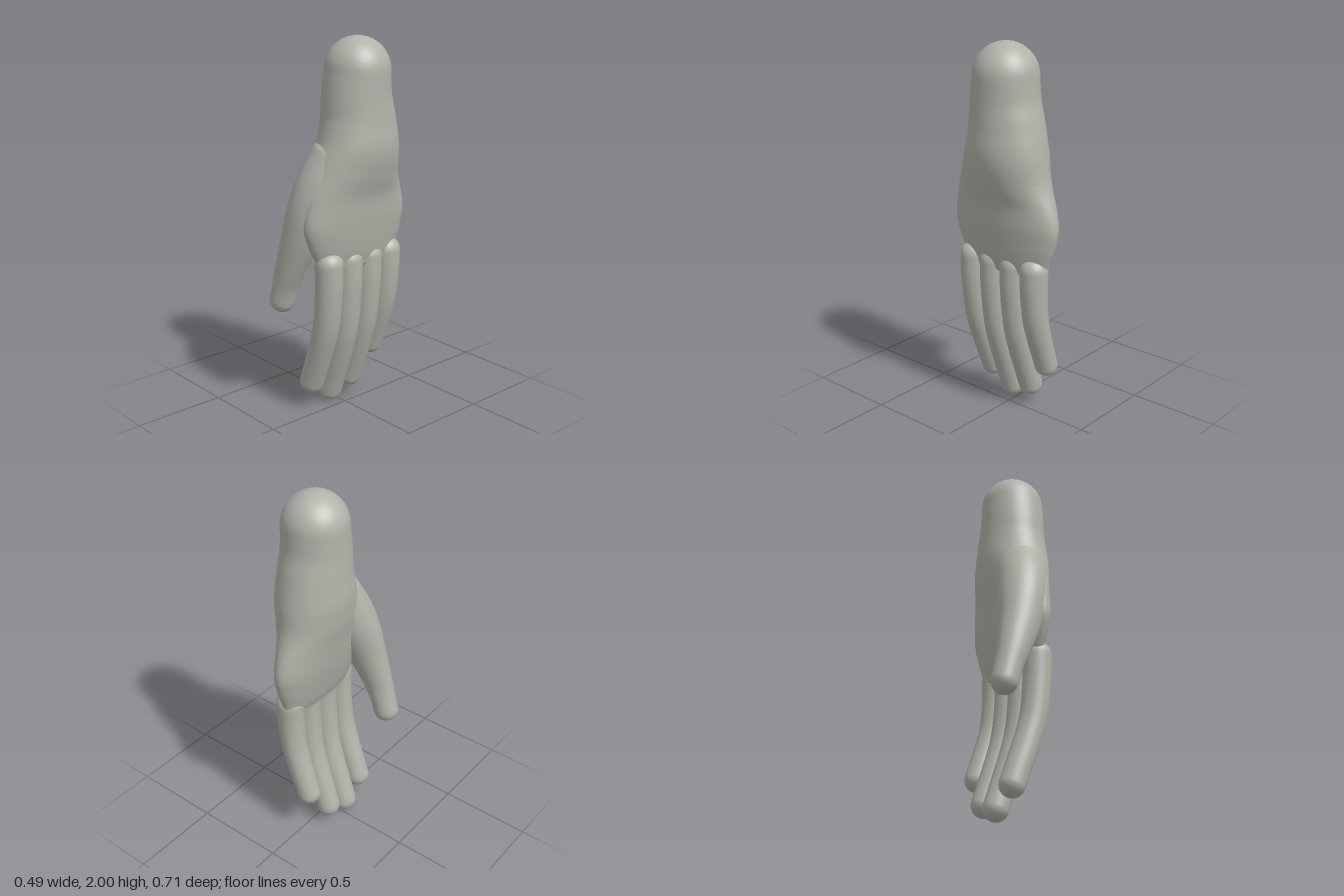
import * as THREE from 'three';

const skin = new THREE.MeshStandardMaterial({ color: 0xb2b2aa });
skin.name = 'warm grey';

// Smooth loft through sections [x, y, z, radiusX, radiusZ], rounded at both ends.
function loft(name, sections, topHeight, endHeight, steps = 48, sides = 48) {
  const path = new THREE.CatmullRomCurve3(
    sections.map(s => new THREE.Vector3(s[0], s[1], s[2])), false, 'catmullrom', 0.5);
  const radii = new THREE.CatmullRomCurve3(
    sections.map(s => new THREE.Vector3(s[3], s[4], 0)), false, 'catmullrom', 0.5);
  const positions = [], index = [];
  let rings = 0;

  function ring(t, scale, shift) {
    const tangent = path.getTangent(t);
    const centre = path.getPoint(t).addScaledVector(tangent, shift);
    const size = radii.getPoint(t).multiplyScalar(scale);
    const across = new THREE.Vector3(1, 0, 0).addScaledVector(tangent, -tangent.x).normalize();
    const along = new THREE.Vector3().crossVectors(tangent, across);
    for (let j = 0; j < sides; j++) {
      const a = (j / sides) * Math.PI * 2;
      const p = centre.clone()
        .addScaledVector(across, Math.cos(a) * size.x)
        .addScaledVector(along, Math.sin(a) * size.y);
      positions.push(p.x, p.y, p.z);
    }
    rings++;
  }

  const capSteps = 12;
  for (let i = 0; i < capSteps; i++) {
    const a = (i / capSteps) * Math.PI / 2;
    ring(0, Math.max(Math.sin(a), 0.002), -Math.cos(a) * topHeight);
  }
  for (let i = 0; i <= steps; i++) ring(i / steps, 1, 0);
  for (let i = 1; i <= capSteps; i++) {
    const a = (i / capSteps) * Math.PI / 2;
    ring(1, Math.max(Math.cos(a), 0.002), Math.sin(a) * endHeight);
  }

  for (let i = 0; i < rings - 1; i++) {
    for (let j = 0; j < sides; j++) {
      const k = (j + 1) % sides;
      const a = i * sides + j, b = i * sides + k;
      index.push(a, b, a + sides, b, b + sides, a + sides);
    }
  }
  const geometry = new THREE.BufferGeometry();
  geometry.setAttribute('position', new THREE.Float32BufferAttribute(positions, 3));
  geometry.setIndex(index);
  geometry.computeVertexNormals();
  const mesh = new THREE.Mesh(geometry, skin);
  mesh.name = name;
  return mesh;
}

// A finger hangs from its knuckle and curls gradually towards the palm.
function finger(name, z0, z1, baseX, tipX, tipY, tipRadius) {
  const baseY = 0.85, baseRadius = 0.075;
  const drop = [0, 0.2, 0.45, 0.65, 1];
  const curl = [0, 0.02, 0.15, 0.4, 1];
  const sections = drop.map((d, i) => {
    const r = THREE.MathUtils.lerp(baseRadius, tipRadius, d);
    return [
      THREE.MathUtils.lerp(baseX, tipX, curl[i]),
      THREE.MathUtils.lerp(baseY, tipY, d),
      THREE.MathUtils.lerp(z0, z1, d), r, r,
    ];
  });
  return loft(name, sections, baseRadius, tipRadius, 32, 32);
}

export function createModel() {
  const hand = new THREE.Group();
  hand.name = 'hand';

  // Wrist with domed end, widening and flattening into the palm
  hand.add(loft('wristAndPalm', [
    [0.06, 1.83, -0.03, 0.17, 0.17],
    [0.058, 1.7, -0.027, 0.173, 0.185],
    [0.058, 1.58, -0.035, 0.18, 0.205],
    [0.058, 1.45, -0.035, 0.188, 0.232],
    [0.05, 1.32, -0.023, 0.17, 0.265],
    [0.045, 1.2, -0.018, 0.14, 0.308],
    [0.048, 1.07, -0.022, 0.12, 0.333],
    [0.052, 0.97, -0.026, 0.102, 0.312],
    [0.055, 0.89, -0.028, 0.085, 0.28],
    [0.058, 0.84, -0.028, 0.07, 0.26],
  ], 0.17, 0.045, 80, 64));

  // Thumb, with its fleshy base sunk into the palm
  hand.add(loft('thumb', [
    [0.03, 1.38, 0.09, 0.13, 0.14],
    [0.0, 1.25, 0.16, 0.13, 0.135],
    [-0.03, 1.12, 0.21, 0.125, 0.12],
    [-0.065, 0.98, 0.245, 0.11, 0.098],
    [-0.12, 0.81, 0.274, 0.085, 0.077],
    [-0.153, 0.71, 0.281, 0.072, 0.07],
    [-0.178, 0.62, 0.285, 0.068, 0.068],
  ], 0.09, 0.068));

  // Four fingers from the thumb side outwards
  hand.add(finger('indexFinger', 0.178, 0.175, 0.078, -0.07, 0.153, 0.066));
  hand.add(finger('middleFinger', 0.042, 0.04, 0.075, -0.08, 0.066, 0.066));
  hand.add(finger('ringFinger', -0.095, -0.095, 0.075, -0.07, 0.115, 0.065));
  hand.add(finger('littleFinger', -0.23, -0.226, 0.075, -0.04, 0.28, 0.062));

  return hand;
}
